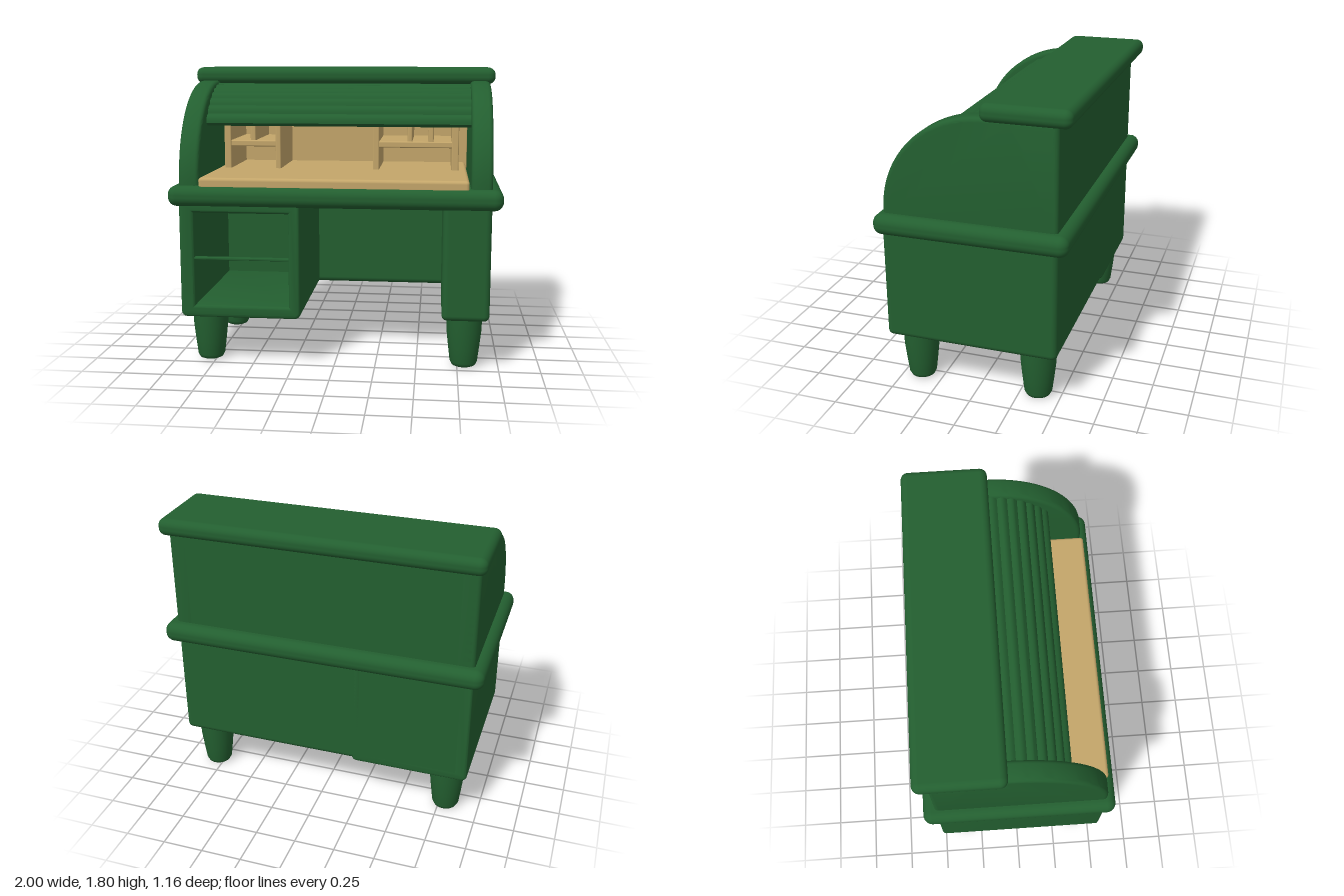
import * as THREE from 'three';
import { toCreasedNormals } from 'three/addons/utils/BufferGeometryUtils.js';
import { RoundedBoxGeometry } from 'three/addons/geometries/RoundedBoxGeometry.js';

const green = new THREE.MeshStandardMaterial({ color: 0x235f30 });
green.name = 'green paint';
const tan = new THREE.MeshStandardMaterial({ color: 0xc4a66a });
tan.name = 'tan wood';

export function createModel() {
  const desk = new THREE.Group();
  desk.name = 'rollTopDesk';

  const add = (name, geometry, material = green) => {
    const mesh = new THREE.Mesh(geometry, material);
    mesh.name = name;
    desk.add(mesh);
    return mesh;
  };

  // Box given by its limits on each axis, with rounded edges
  const box = (name, x0, x1, y0, y1, z0, z1, radius = 0.02, material = green) =>
    add(name, new RoundedBoxGeometry(x1 - x0, y1 - y0, z1 - z0, 4, radius)
      .translate((x0 + x1) / 2, (y0 + y1) / 2, (z0 + z1) / 2), material);

  const bevelled = (shape, length, bevel) => toCreasedNormals(new THREE.ExtrudeGeometry(shape, {
    depth: length - 2 * bevel, bevelEnabled: bevel > 0, bevelThickness: bevel, bevelSize: bevel,
    bevelOffset: -bevel, bevelSegments: 4, curveSegments: 8,
  }).translate(0, 0, bevel), 0.6);

  // Profile drawn in (z, y), pulled from x0 to x1
  const pulledAlongX = (name, shape, x0, x1, bevel, material = green) =>
    add(name, bevelled(shape, x1 - x0, bevel).rotateY(-Math.PI / 2).translate(x1, 0, 0), material);

  // Tapered legs with rounded feet
  const legProfile = [[0, 0], [0.055, 0], [0.073, 0.008], [0.084, 0.03], [0.095, 0.12], [0.106, 0.22], [0.11, 0.33]]
    .map(([r, y]) => new THREE.Vector2(r, y));
  for (const x of [-0.79, 0.79]) {
    for (const z of [0.385, -0.36]) {
      add('leg', new THREE.LatheGeometry(legProfile, 28)).position.set(x, 0, z);
    }
  }

  // Open drawer cabinet with a thin rail between the two bays
  const cabinet = new THREE.Shape();
  const [l, r, b, t, c] = [-0.935, -0.2, 0.3, 1.02, 0.04];
  cabinet.moveTo(l + c, b).lineTo(r - c, b).quadraticCurveTo(r, b, r, b + c).lineTo(r, t)
    .lineTo(l, t).lineTo(l, b + c).quadraticCurveTo(l, b, l + c, b);
  const opening = new THREE.Path();
  opening.moveTo(-0.845, 0.375).lineTo(-0.845, 0.945).lineTo(-0.27, 0.945).lineTo(-0.27, 0.375).closePath();
  cabinet.holes.push(opening);
  add('drawerCabinet', bevelled(cabinet, 1.05, 0.02).translate(0, 0, -0.505));
  box('drawerRail', -0.85, -0.26, 0.657, 0.673, 0.5, 0.535, 0.005);

  // Narrow pedestal and back of the knee space
  box('pedestal', 0.65, 0.935, 0.315, 1.03, -0.505, 0.545, 0.035);
  box('lowerBack', -0.935, 0.935, 0.315, 1.03, -0.505, -0.37, 0.035);

  // Moulded slab and writing surface
  box('deskSlab', -1, 1, 0.985, 1.11, -0.575, 0.58, 0.055);
  box('writingSurface', -0.812, 0.8, 1.09, 1.16, -0.46, 0.545, 0.02, tan);

  // Curved side panels of the upper case
  const side = new THREE.Shape();
  side.moveTo(-0.505, 1.08).lineTo(0.53, 1.08).lineTo(0.53, 1.13)
    .absellipse(-0.07, 1.13, 0.6, 0.59, 0, Math.PI / 2, false, 0);
  side.lineTo(-0.505, 1.72);
  // A finer curve keeps the arc smooth
  const sideSmooth = new THREE.Shape(side.getSpacedPoints(90));
  pulledAlongX('sidePanelLeft', sideSmooth, 0.81, 0.935, 0.025);
  pulledAlongX('sidePanelRight', sideSmooth, -0.935, -0.81, 0.025);

  // Back and top of the upper case
  box('upperBack', -0.935, 0.935, 1.08, 1.74, -0.505, -0.45, 0.025);
  box('interiorBack', -0.81, 0.81, 1.12, 1.68, -0.46, -0.44, 0.005, tan);
  box('topBoard', -0.97, 0.97, 1.7, 1.805, -0.58, -0.065, 0.045);

  // Roll shutter made of rounded slats
  const slats = 8, steps = 6, from = 0.652, to = 1.72;
  const outer = [], inner = [];
  for (let i = 0; i <= slats * steps; i++) {
    const a = from + (to - from) * i / (slats * steps);
    const bump = 0.014 * Math.abs(Math.sin(Math.PI * i / steps));
    const at = (d) => new THREE.Vector2(-0.07 + (0.47 + d) * Math.cos(a), 1.13 + (0.56 + d) * Math.sin(a));
    outer.push(at(bump));
    inner.unshift(at(-0.03));
  }
  pulledAlongX('rollShutter', new THREE.Shape([...outer, ...inner]), -0.815, 0.815, 0);

  // Pigeonholes: walls, shelf and upper dividers as [x0, x1]
  const pigeonholes = (name, walls, dividers) => {
    const x0 = walls[0][0], x1 = walls[1][1];
    for (const [a, d] of walls) box(name + 'Wall', a, d, 1.14, 1.54, -0.45, 0.03, 0.008, tan);
    for (const [a, d] of dividers) box(name + 'Divider', a, d, 1.32, 1.54, -0.45, 0.02, 0.008, tan);
    box(name + 'Shelf', x0, x1, 1.3, 1.34, -0.45, 0.025, 0.008, tan);
    box(name + 'Top', x0, x1, 1.51, 1.545, -0.45, 0.03, 0.008, tan);
  };
  pigeonholes('rightPigeonhole', [[-0.765, -0.72], [-0.43, -0.395]], [[-0.595, -0.56]]);
  pigeonholes('leftPigeonhole', [[0.2, 0.24], [0.7, 0.745]], [[0.42, 0.45], [0.55, 0.585]]);

  return desk;
}
